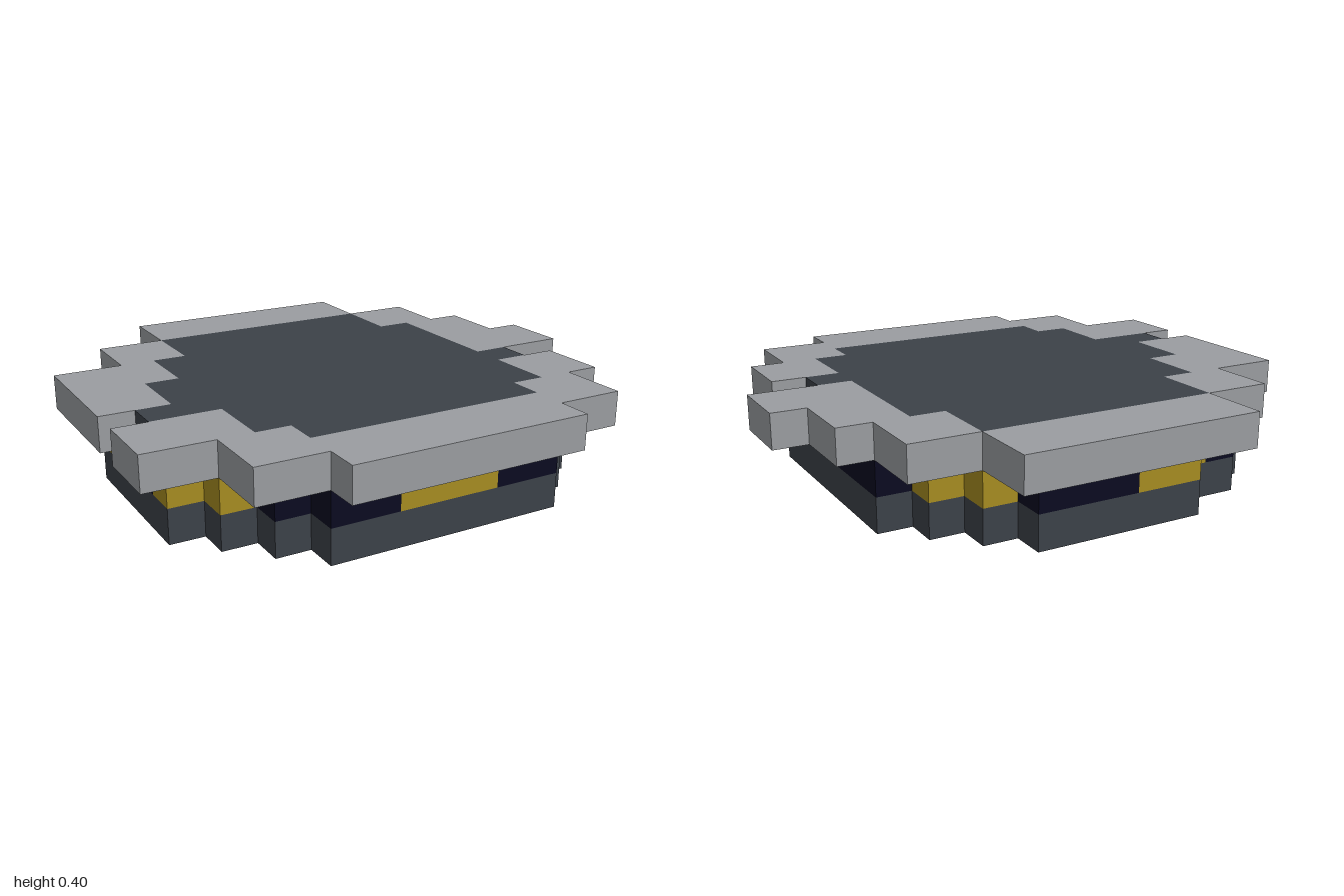
import * as THREE from 'three';

const U = 2 / 15; // one block
const mat = (name, color) => {
  const m = new THREE.MeshStandardMaterial({ color });
  m.name = name;
  return m;
};

// Rows are [zBack, zFront, xMin, xMax] in blocks; these walk one stepped side.
const side = (rows, k) => rows.flatMap(r => [[r[k], r[0]], [r[k], r[1]]]);
const right = rows => side(rows, 2);
const left = rows => side(rows, 3);

// Stepped slab, one block thick, resting on the given level
function slab(name, points, level, material) {
  const shape = new THREE.Shape(points.map(([x, z]) => new THREE.Vector2(x * U, z * U)));
  const geo = new THREE.ExtrudeGeometry(shape, { depth: U, bevelEnabled: false });
  geo.rotateX(Math.PI / 2).translate(0, (level + 1) * U, 0);
  const mesh = new THREE.Mesh(geo, material);
  mesh.name = name;
  return mesh;
}

export function createModel() {
  const group = new THREE.Group();
  group.name = 'steppedPlatform';
  const charcoal = mat('charcoal', 0x3c4148);
  const grey = mat('lightGrey', 0x9a9da1);
  const yellow = mat('yellow', 0xa68c21);
  const navy = mat('navy', 0x0a0a20);

  // Base
  const baseRows = [
    [-6, -5, -2.5, 2.5], [-5, -4, -4.5, 3.5], [-4, -3, -5.5, 4.5], [-3, -2, -5.5, 5.5],
    [-2, 3, -6.5, 5.5], [3, 4, -5.5, 5.5], [4, 5, -4.5, 4.5], [5, 6, -3.5, 3.5],
  ];
  group.add(slab('base', [...left(baseRows), ...right(baseRows).reverse()], 0, charcoal));

  // Striped band around the middle: [xMin, xMax, zMin, zMax]
  const bands = [
    ['yellowStripe', yellow, [
      [-1.5, 1.5, 5, 6], [4.5, 5.5, 1, 4], [3.5, 4.5, -4, -3], [2.5, 3.5, -5, -4], [-2.5, -0.5, -6, -5],
      [-3.5, -2.5, -5, -4], [-6.5, -5.5, -2, 0], [-6.5, -5.5, 2, 3], [-5.5, -4.5, 3, 4],
    ]],
    ['navyStripe', navy, [
      [1.5, 3.5, 5, 6], [3.5, 4.5, 4, 5], [4.5, 5.5, -3, 1], [-0.5, 2.5, -6, -5], [-4.5, -3.5, -5, -4],
      [-5.5, -4.5, -4, -2], [-6.5, -5.5, 0, 2], [-4.5, -3.5, 4, 5], [-3.5, -1.5, 5, 6],
    ]],
  ];
  for (const [name, material, boxes] of bands) {
    for (const [x0, x1, z0, z1] of boxes) {
      const mesh = new THREE.Mesh(new THREE.BoxGeometry((x1 - x0) * U, U, (z1 - z0) * U), material);
      mesh.position.set((x0 + x1) / 2 * U, 1.5 * U, (z0 + z1) / 2 * U);
      mesh.name = name;
      group.add(mesh);
    }
  }

  // Dark floor, flush with the rim and reaching out through both side gaps
  const floorBack = [[-5, -3, -3.5, 3.5], [-3, -1, -4.5, 4.5], [-1, 1, -5.5, 4.5]];
  const floorFront = [[2, 4, -4.5, 4.5], [4, 5, -3.5, 3.5]];
  const floorRows = [...floorBack, [1, 2, -6.5, 5.5], ...floorFront];
  group.add(slab('floor', [...left(floorRows), ...right(floorRows).reverse()], 2, charcoal));

  // Rim in two halves, open at the side gaps
  const rimBack = [[-7, -5, -3.5, 3.5], [-5, -3, -5.5, 5.5], [-3, -1, -7.5, 6.5], [-1, 1, -7.5, 7.5]];
  const rimFront = [[2, 4, -7.5, 6.5], [4, 6, -5.5, 5.5], [6, 7, -3.5, 3.5]];
  group.add(slab('backRim', [
    ...left(rimBack), ...left(floorBack).reverse(), ...right(floorBack), ...right(rimBack).reverse(),
  ], 2, grey));
  group.add(slab('frontRim', [
    ...left(rimFront), ...right(rimFront).reverse(), ...right(floorFront), ...left(floorFront).reverse(),
  ], 2, grey));

  return group;
}
